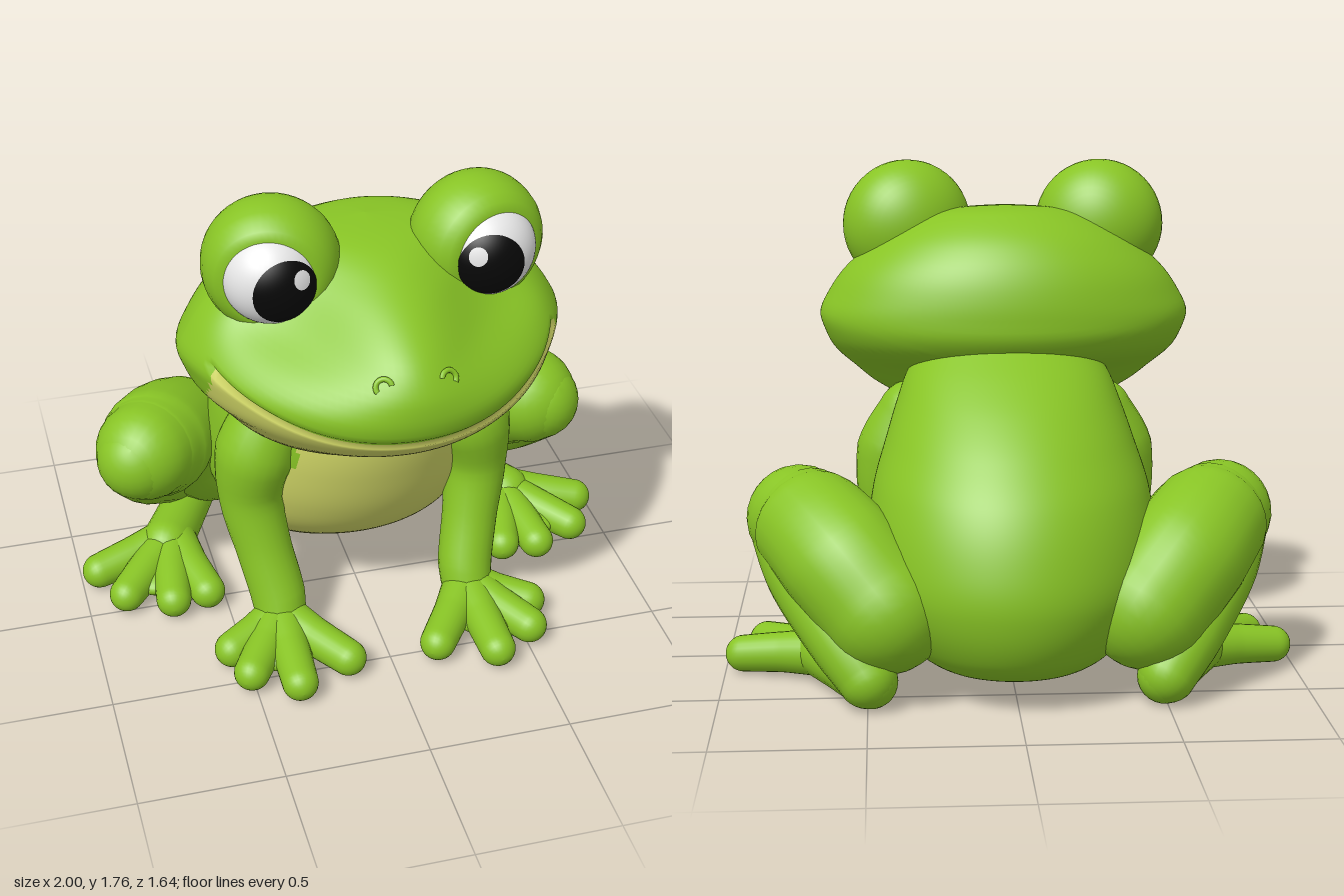
import * as THREE from 'three';

const material = (name, color) => {
  const m = new THREE.MeshStandardMaterial({ color });
  m.name = name;
  return m;
};

// Smooth lookup in a table whose first column is the height
function sample(table, y) {
  const n = table.length - 1;
  let k = 0;
  while (k < n - 1 && y > table[k + 1][0]) k++;
  const a = table[k], b = table[k + 1], h = b[0] - a[0];
  const t = THREE.MathUtils.clamp((y - a[0]) / h, 0, 1);
  const slope = (i, c) => {
    const p = table[Math.max(0, i - 1)], q = table[Math.min(n, i + 1)];
    return (q[c] - p[c]) / (q[0] - p[0]);
  };
  return a.map((v, c) => {
    const t2 = t * t, t3 = t2 * t;
    return v * (2 * t3 - 3 * t2 + 1) + b[c] * (3 * t2 - 2 * t3)
      + h * (slope(k, c) * (t3 - 2 * t2 + t) + slope(k + 1, c) * (t3 - t2));
  });
}

// Skin over closed rings; pick(i, j, point) chooses the material slot of each face
function loft(rings, pick = () => 0) {
  const n = rings[0].length, faces = [[], []];
  for (let i = 0; i < rings.length - 1; i++) {
    for (let j = 0; j < n; j++) {
      const k = (j + 1) % n;
      const a = i * n + j, b = i * n + k, c = a + n, d = b + n;
      faces[pick(i, j, rings[i][j])].push(a, b, c, b, d, c);
    }
  }
  const g = new THREE.BufferGeometry().setFromPoints(rings.flat());
  g.setIndex(faces.flat());
  g.addGroup(0, faces[0].length, 0);
  if (faces[1].length) g.addGroup(faces[0].length, faces[1].length, 1);
  g.computeVertexNormals();
  return g;
}

// Egg-shaped slice: row = [y, front z, back z, half width, z of widest point, hollow];
// taper narrows the front, hollow presses in the front corners
function slicePoint([y, zf, zb, w, zc, hollow = 0], a, taper = 1) {
  const c = Math.cos(a);
  const z = c > 0
    ? (zf - zc) * c ** taper * (1 - hollow * Math.sin(2 * a) ** 2)
    : (zc - zb) * c;
  return new THREE.Vector3(Math.max(0, w) * Math.sin(a), y, zc + z);
}

// Tapered round-ended limb through points [x, y, z, radius]
function limb(points, side) {
  const curve = new THREE.CatmullRomCurve3(points.map(p => new THREE.Vector3(side * p[0], p[1], p[2])));
  const steps = 24, sides = 24, caps = 8, rings = [];
  const frames = curve.computeFrenetFrames(steps);
  const ring = (i, shift, scale) => {
    const f = (i / steps) * (points.length - 1), k = Math.min(points.length - 2, Math.floor(f));
    const r = THREE.MathUtils.lerp(points[k][3], points[k + 1][3], f - k);
    const centre = curve.getPoint(i / steps).addScaledVector(frames.tangents[i], shift * r);
    rings.push(Array.from({ length: sides }, (_, j) => {
      const a = (j / sides) * Math.PI * 2;
      return centre.clone()
        .addScaledVector(frames.normals[i], Math.cos(a) * r * scale)
        .addScaledVector(frames.binormals[i], Math.sin(a) * r * scale);
    }));
  };
  for (let c = 0; c < caps; c++) {
    const a = (c / caps) * Math.PI / 2;
    ring(0, -Math.cos(a), Math.sin(a));
  }
  for (let i = 0; i <= steps; i++) ring(i, 0, 1);
  for (let c = 1; c <= caps; c++) {
    const a = (c / caps) * Math.PI / 2;
    ring(steps, Math.sin(a), Math.cos(a));
  }
  return loft(rings);
}

const HEAD = [
  [0.83, 0.38, 0.38, 0, 0.38, 0], [0.838, 0.42, 0.32, 0.15, 0.37, 0], [0.87, 0.465, 0.22, 0.3, 0.34, 0],
  [0.95, 0.59, 0.07, 0.45, 0.3, 0], [1.03, 0.715, -0.05, 0.54, 0.25, 0], [1.1, 0.785, -0.19, 0.61, 0.22, 0],
  [1.17, 0.815, -0.245, 0.645, 0.2, 0], [1.23, 0.82, -0.25, 0.66, 0.2, 0.04], [1.3, 0.805, -0.245, 0.63, 0.2, 0.17],
  [1.38, 0.75, -0.225, 0.575, 0.19, 0.4], [1.45, 0.655, -0.19, 0.5, 0.18, 0.43], [1.52, 0.52, -0.13, 0.4, 0.17, 0.3],
  [1.58, 0.37, -0.04, 0.27, 0.15, 0.1], [1.602, 0.26, 0.02, 0.16, 0.14, 0], [1.612, 0.13, 0.13, 0, 0.13, 0],
];
const BODY = [
  [0.07, -0.4, -0.4, 0, -0.4], [0.078, -0.28, -0.54, 0.16, -0.4], [0.11, -0.15, -0.67, 0.28, -0.38],
  [0.19, -0.02, -0.765, 0.38, -0.34], [0.35, 0.18, -0.82, 0.475, -0.3], [0.5, 0.285, -0.805, 0.495, -0.27],
  [0.68, 0.35, -0.735, 0.475, -0.22], [0.83, 0.375, -0.62, 0.43, -0.15], [0.95, 0.36, -0.495, 0.39, -0.08],
  [1.05, 0.29, -0.36, 0.35, -0.03], [1.15, 0.2, -0.2, 0.28, 0],
];
const SNOUT_TAPER = 1.38;

// Domed eyelid with a full, softly rounded front rim
const LID = [
  ...Array.from({ length: 12 }, (_, i) => {
    const a = (i / 12) * Math.PI / 2;
    return [0.23 * Math.sin(a), -0.19 * Math.cos(a)];
  }),
  [0.23, 0], [0.228, 0.035], [0.219, 0.075], [0.203, 0.108], [0.18, 0.134], [0.155, 0.147], [0.12, 0.15], [0, 0.15],
].map(p => new THREE.Vector2(...p));

export function createModel() {
  const model = new THREE.Group();
  model.name = 'frog';
  const green = material('skin green', 0x88c425);
  const cream = material('belly yellow green', 0xd0d666);
  const white = material('eye white', 0xf2f2f2);
  const black = material('pupil black', 0x080808);
  const add = (parent, name, geometry, mat) => {
    const mesh = new THREE.Mesh(geometry, mat);
    mesh.name = name;
    parent.add(mesh);
    return mesh;
  };

  // Body with a pale belly that widens towards the bottom
  const N = 160, angle = j => (j / N) * Math.PI * 2;
  const bodyRings = Array.from({ length: 91 }, (_, i) => {
    const row = sample(BODY, 0.07 + 1.08 * (1 - Math.cos((i / 90) * Math.PI)) / 2);
    return Array.from({ length: N }, (_, j) => slicePoint(row, angle(j)));
  });
  add(model, 'body', loft(bodyRings, (i, j, p) =>
    p.z > Math.min(0.25, -0.16 + (p.y - 0.2) * 0.8) ? 1 : 0), [green, cream]);

  // Head: the rows bend so that one follows the smile, with the pale jaw below it
  const half = 36, headRings = [];
  for (let i = 0; i <= 2 * half; i++) {
    headRings.push(Array.from({ length: N }, (_, j) => {
      const a = angle(j), t = (i - half) / half;
      const mouth = 1.12 + 0.135 * Math.min(1, (Math.abs(Math.sin(a)) / 0.9) ** 3);
      const reach = t < 0 ? mouth - 0.83 : 1.612 - mouth;
      const row = sample(HEAD, mouth + reach * Math.sin(t * Math.PI / 2));
      const p = slicePoint(row, a, SNOUT_TAPER);
      if (i === half && Math.cos(a) > 0.43) {
        p.x *= 0.975;
        p.z = row[4] + (p.z - row[4]) * 0.975;
      }
      return p;
    }));
  }
  add(model, 'head', loft(headRings, (i, j, p) =>
    i < half && p.z > 0.3 + 0.09 * THREE.MathUtils.smoothstep(p.y, 1.08, 1.2) ? 1 : 0), [green, cream]);

  for (const s of [1, -1]) {
    const label = s > 0 ? 'left ' : 'right ';
    const part = (name, points) => add(model, label + name, limb(points, s), green);
    const pad = (name, [x, y, z], size) => {
      const mesh = add(model, label + name, new THREE.SphereGeometry(1, 32, 20), green);
      mesh.position.set(s * x, y, z);
      mesh.scale.set(...size);
    };

    // Eye: domed lid, ball, pupil and glint
    const eye = new THREE.Group();
    eye.name = label + 'eye';
    eye.position.set(s * 0.345, 1.535, 0.24);
    eye.rotation.y = s * 0.25;
    model.add(eye);
    add(eye, 'eyelid', new THREE.LatheGeometry(LID, 48).rotateX(Math.PI / 2), green);
    const ball = new THREE.Group();
    ball.name = 'eyeball';
    ball.position.z = 0.092;
    ball.scale.set(0.16, 0.16, 0.145);
    eye.add(ball);
    add(ball, 'eye white', new THREE.SphereGeometry(1, 48, 32), white);
    const cap = (name, radius, size, pitch, yaw, mat) => add(ball, name,
      new THREE.SphereGeometry(radius, 40, 12, 0, Math.PI * 2, 0, size)
        .rotateX(Math.PI / 2 - pitch).rotateY(s * yaw), mat);
    cap('pupil', 1.015, 0.76, -0.05, -0.44, black);
    cap('glint', 1.03, 0.2, 0.25, -0.74, white);

    // Nostril: a small raised curl
    const nostril = add(model, label + 'nostril', new THREE.TorusGeometry(0.026, 0.009, 10, 20, Math.PI * 1.15), green);
    nostril.position.copy(slicePoint(sample(HEAD, 1.33), s * 0.175, SNOUT_TAPER));
    nostril.rotation.set(-0.5, s * 0.3, s > 0 ? -0.6 : 0.6 - Math.PI * 0.15);

    // Front leg, palm and fingers
    part('front leg', [[0.33, 0.86, 0.12, 0.13], [0.39, 0.73, 0.13, 0.146], [0.415, 0.55, 0.13, 0.115],
      [0.385, 0.35, 0.185, 0.1], [0.35, 0.17, 0.255, 0.098], [0.35, 0.1, 0.29, 0.09]]);
    pad('palm', [0.38, 0.07, 0.42], [0.12, 0.05, 0.12]);
    [[0.165, 0.54], [0.36, 0.625], [0.51, 0.53], [0.55, 0.39]].forEach(([x, z], i) =>
      part('finger ' + (i + 1), [[0.35, 0.1, 0.28, 0.085],
        [(0.35 + x) / 2, 0.085, (0.28 + z) / 2, 0.069], [x, 0.072, z, 0.064]]));

    // Folded hind leg, long webbed foot and toes
    part('thigh', [[0.44, 0.32, -0.53, 0.215], [0.59, 0.48, -0.42, 0.215],
      [0.69, 0.55, -0.26, 0.203], [0.73, 0.565, -0.205, 0.183]]);
    part('shin', [[0.765, 0.56, -0.17, 0.15], [0.705, 0.4, -0.33, 0.14],
      [0.57, 0.21, -0.54, 0.118], [0.5, 0.11, -0.61, 0.1]]);
    part('foot', [[0.49, 0.1, -0.61, 0.092], [0.58, 0.1, -0.42, 0.092], [0.67, 0.105, -0.24, 0.097]]);
    pad('web', [0.72, 0.07, -0.12], [0.13, 0.05, 0.13]);
    [[0.57, 0.04], [0.7, 0.06], [0.86, -0.015], [0.935, -0.18]].forEach(([x, z], i) =>
      part('toe ' + (i + 1), [[0.64, 0.1, -0.28, 0.085],
        [(0.65 + x) / 2, 0.088, (z - 0.27) / 2, 0.071], [x, 0.072, z, 0.064]]));
  }
  return model;
}
